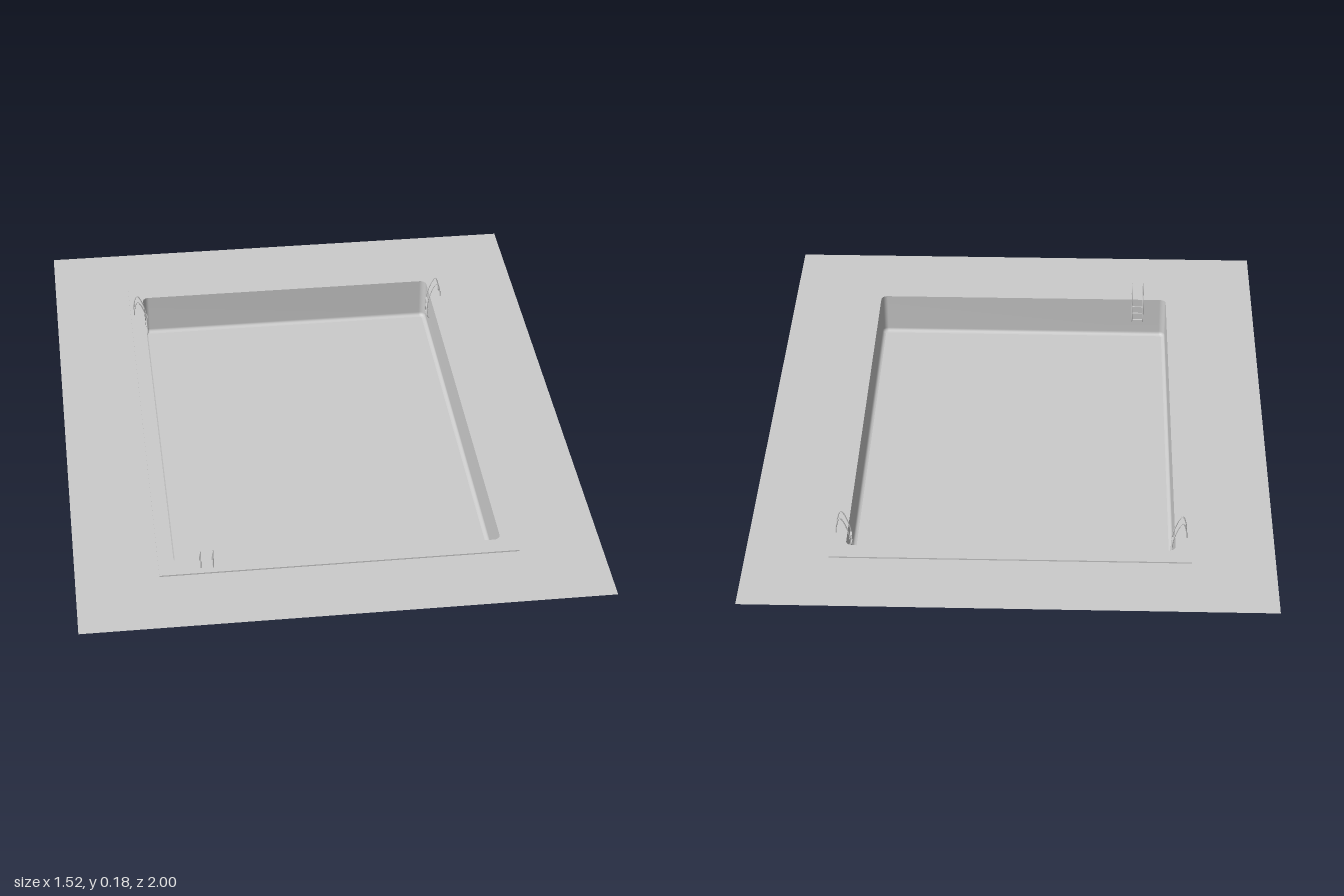
import * as THREE from 'three';

const W = 0.475, L = 0.715, DECK = 0.13, TOP = 0.134;
const mat = new THREE.MeshStandardMaterial({ color: 0xcccccc, side: THREE.DoubleSide });

// Rectangle outline with optional rounded corners, counter-clockwise
function rect(hw, hl, r = 0, Type = THREE.Shape) {
  const s = new Type();
  if (r === 0) {
    s.moveTo(-hw, -hl); s.lineTo(hw, -hl); s.lineTo(hw, hl); s.lineTo(-hw, hl); s.closePath();
    return s;
  }
  s.absarc(hw - r, hl - r, r, 0, Math.PI / 2);
  s.absarc(-hw + r, hl - r, r, Math.PI / 2, Math.PI);
  s.absarc(-hw + r, -hl + r, r, Math.PI, Math.PI * 1.5);
  s.absarc(hw - r, -hl + r, r, Math.PI * 1.5, Math.PI * 2);
  s.closePath();
  return s;
}

function mesh(name, geometry) {
  const m = new THREE.Mesh(geometry, mat);
  m.name = name;
  return m;
}

// Basin walls: rounded outlines stacked from the rim to the floor fillet
function basinWalls() {
  const rings = [[0, TOP], [0, 0.012], [0.001, 0.007], [0.004, 0.003], [0.008, 0.001], [0.012, 0]];
  const pos = [], index = [];
  let n = 0;
  rings.forEach(([inset, y], k) => {
    const pts = rect(W - inset, L - inset, 0.02 - inset).getPoints(6);
    n = pts.length;
    pts.forEach(p => pos.push(p.x, y, -p.y));
    if (k === 0) return;
    for (let i = 0; i < n; i++) {
      const j = (i + 1) % n, a = (k - 1) * n, b = k * n;
      index.push(a + i, a + j, b + i, a + j, b + j, b + i);
    }
  });
  const g = new THREE.BufferGeometry();
  g.setAttribute('position', new THREE.Float32BufferAttribute(pos, 3));
  g.setIndex(index);
  g.computeVertexNormals();
  return g;
}

// Ladder on a wall: local +z points away from the water, z = 0 is the wall
function ladder(name, x, z, turn) {
  const g = new THREE.Group();
  g.name = name;
  const path = new THREE.CatmullRomCurve3([
    [0.034, 0.13], [0.031, 0.16], [0.022, 0.183], [0.012, 0.172], [0.001, 0.145],
    [-0.006, 0.12], [-0.008, 0.09], [-0.007, 0.058], [0.002, 0.05],
  ].map(([d, y]) => new THREE.Vector3(0, y, d)));
  for (const side of [-1, 1]) {
    const rail = mesh('ladderRail', new THREE.TubeGeometry(path, 40, 0.0018, 8));
    rail.position.x = side * 0.018;
    g.add(rail);
  }
  for (const y of [0.06, 0.085, 0.11]) {
    const tread = mesh('ladderTread', new THREE.BoxGeometry(0.036, 0.002, 0.006));
    tread.position.set(0, y, -0.007);
    g.add(tread);
  }
  g.position.set(x, 0, z);
  g.rotation.y = turn;
  return g;
}

export function createModel() {
  const model = new THREE.Group();
  model.name = 'swimmingPool';

  // Flat surrounding ground with an opening for the coping
  const ground = rect(0.76, 1);
  ground.holes.push(rect(0.52, 0.772, 0, THREE.Path));
  const deck = mesh('ground', new THREE.ShapeGeometry(ground).rotateX(-Math.PI / 2));
  deck.position.y = DECK;
  model.add(deck);

  // Slightly raised coping around the basin
  const edge = rect(0.52, 0.772);
  edge.holes.push(rect(W, L, 0.02, THREE.Path));
  const coping = mesh('coping', new THREE.ExtrudeGeometry(edge,
    { depth: TOP - DECK, bevelEnabled: false, curveSegments: 6 }).rotateX(-Math.PI / 2));
  coping.position.y = DECK;
  model.add(coping);

  // Basin
  model.add(mesh('basinWalls', basinWalls()));
  model.add(mesh('basinFloor',
    new THREE.ShapeGeometry(rect(W - 0.012, L - 0.012, 0.008), 6).rotateX(-Math.PI / 2)));

  // Three ladders
  model.add(ladder('leftLadder', W, -0.633, Math.PI / 2));
  model.add(ladder('rightLadder', -W, -0.633, -Math.PI / 2));
  model.add(ladder('frontLadder', -0.382, L, 0));
  return model;
}
